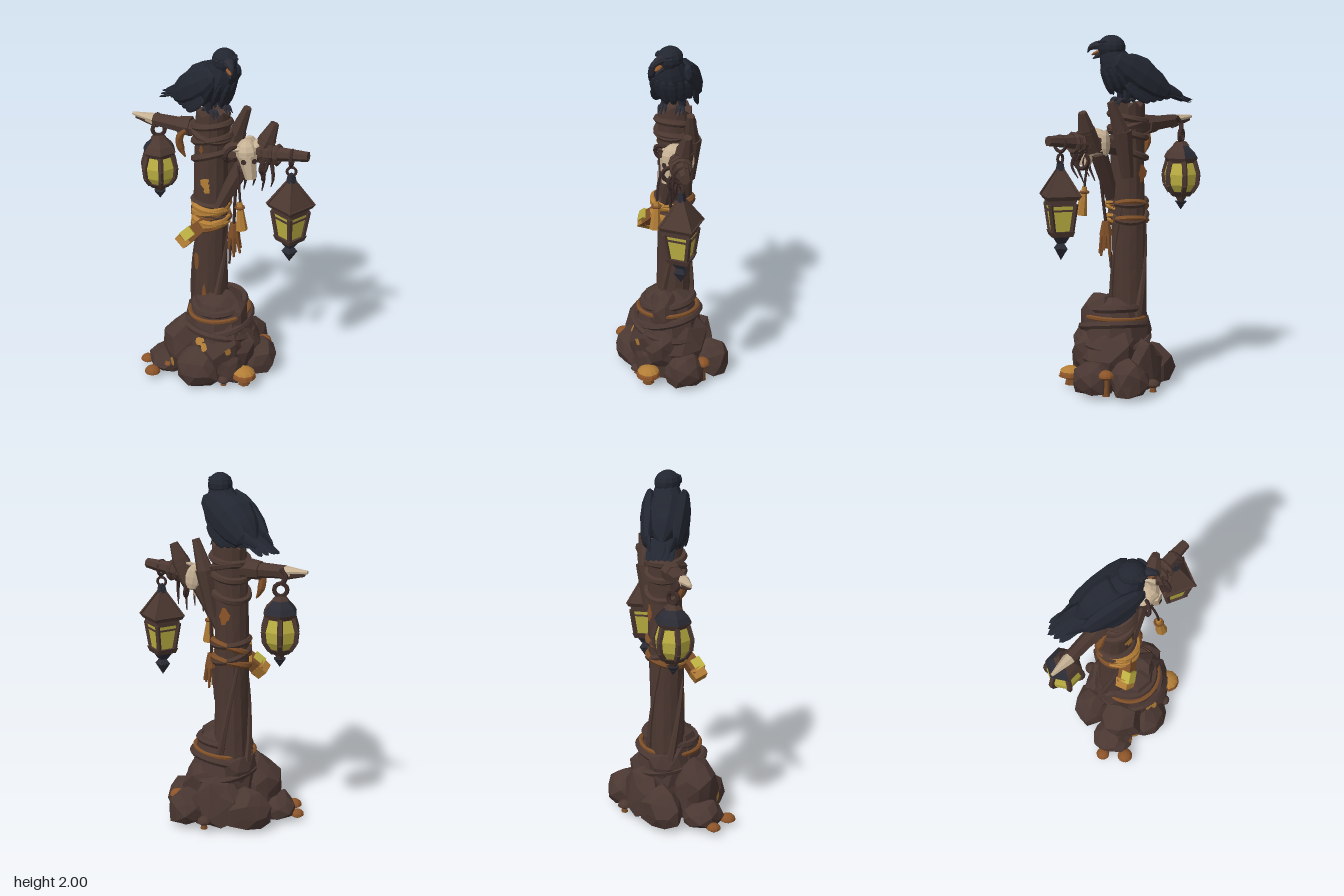
import * as THREE from 'three';

const mat = (name, color, flatShading = true) => {
  const m = new THREE.MeshStandardMaterial({ color, flatShading, side: THREE.DoubleSide });
  m.name = name;
  return m;
};
const V = (p) => new THREE.Vector3(...p);

export function createModel() {
  const M = {
    wood: mat('brown wood', 0x4c3831), rock: mat('brown rock', 0x4a3732), bark: mat('dark bark', 0x3c2b28),
    feather: mat('blue black feather', 0x222630), iron: mat('dark iron', 0x2b2b35), glass: mat('yellow glass', 0xbdb142),
    cap: mat('rust cap', 0x8c5429), rope: mat('tan rope', 0x7d4e28), gold: mat('golden lichen', 0xb27d36), bone: mat('pale bone', 0xc6b194),
  };
  let seed = 7;
  const rnd = (a = 0, b = 1) => { seed = (seed * 16807) % 2147483647; return a + (b - a) * seed / 2147483647; };
  const root = new THREE.Group();
  root.name = 'lanternPost';
  const add = (name, geo, m, pos = [0, 0, 0], parent = root) => {
    const mesh = new THREE.Mesh(geo, m);
    mesh.name = name;
    mesh.position.set(...pos);
    parent.add(mesh);
    return mesh;
  };
  const group = (name, pos, parent = root) => {
    const g = new THREE.Group();
    g.name = name;
    g.position.set(...pos);
    parent.add(g);
    return g;
  };
  // straight tapered stick from a to b
  const rod = (name, a, b, r0, r1, m, parent, sides = 7) => {
    const d = V(b).sub(V(a));
    const mesh = add(name, new THREE.CylinderGeometry(r1, r0, d.length(), sides), m, V(a).add(V(b)).multiplyScalar(0.5).toArray(), parent);
    mesh.quaternion.setFromUnitVectors(new THREE.Vector3(0, 1, 0), d.normalize());
    return mesh;
  };
  // tube along a curve with a radius at each step
  const loft = (name, pts, radii, m, parent, sides = 7, closed = false) => {
    const curve = new THREE.CatmullRomCurve3(pts.map(V), closed);
    const seg = pts.length * 3;
    const geo = new THREE.TubeGeometry(curve, seg, 1, sides, closed);
    const pos = geo.attributes.position, v = new THREE.Vector3();
    for (let i = 0; i < pos.count; i++) {
      const u = Math.floor(i / (sides + 1)) / seg, k = u * (radii.length - 1), j = Math.min(Math.floor(k), radii.length - 2);
      const r = radii.length === 1 ? radii[0] : THREE.MathUtils.lerp(radii[j], radii[j + 1], k - j);
      const c = curve.getPointAt(u);
      v.fromBufferAttribute(pos, i).sub(c).multiplyScalar(r).add(c);
      pos.setXYZ(i, v.x, v.y, v.z);
    }
    geo.computeVertexNormals();
    return add(name, geo, m, [0, 0, 0], parent);
  };
  // thin leaf-like blade from a to b
  const blade = (name, a, b, w, t, m, parent, up = [0, 1, 0]) => {
    const geo = new THREE.SphereGeometry(1, 8, 6).rotateX(Math.PI / 2).scale(w, t, V(a).distanceTo(V(b)) / 2);
    const mesh = new THREE.Mesh(geo, m);
    mesh.name = name;
    mesh.position.copy(V(a).add(V(b)).multiplyScalar(0.5));
    mesh.up.set(...up);
    mesh.lookAt(V(b));
    parent.add(mesh);
  };

  // rock mound: a solid core with boulders heaped against it
  const rocks = [
    [0.0, 0.2, 0.02, 0.22, 0.27, 0.22], [0.07, 0.4, 0.07, 0.1, 0.17, 0.1], [-0.08, 0.33, -0.01, 0.13, 0.15, 0.15],
    [-0.2, 0.17, 0.07, 0.13, 0.2, 0.14], [0.21, 0.08, 0.0, 0.12, 0.14, 0.12], [0.14, 0.09, -0.19, 0.11, 0.13, 0.11],
    [-0.09, 0.1, 0.18, 0.14, 0.14, 0.13], [0.06, 0.1, 0.16, 0.1, 0.14, 0.09], [-0.3, 0.06, 0.07, 0.12, 0.1, 0.12],
    [-0.18, 0.09, -0.12, 0.15, 0.15, 0.12], [-0.02, 0.12, -0.16, 0.15, 0.18, 0.1], [0.12, 0.22, 0.09, 0.1, 0.14, 0.11],
  ];
  const mound = group('rockMound', [0, 0, 0]);
  const core = [[0.2, 0.025], [0.215, 0.18], [0.195, 0.3], [0.17, 0.4], [0.135, 0.49], [0.06, 0.53]].map(([r, y]) => new THREE.Vector2(r, y));
  add('moundCore', new THREE.LatheGeometry(core, 9), M.rock, [-0.005, 0, 0.025], mound);
  rocks.forEach(([x, y, z, sx, sy, sz], n) => {
    const geo = new THREE.IcosahedronGeometry(1, 1), p = geo.attributes.position;
    geo.rotateY(n * 1.3);
    for (let i = 0; i < p.count; i++) {
      const h = Math.sin(Math.round(p.getX(i) * 50) * 12.9 + Math.round(p.getY(i) * 50) * 78.2 + Math.round(p.getZ(i) * 50) * 37.7 + n) * 43.7;
      const k = 0.86 + 0.26 * (h - Math.floor(h));
      p.setXYZ(i, p.getX(i) * k * sx, Math.max(p.getY(i) * k * sy, (n === 6 ? 0.0 : 0.025) - y), p.getZ(i) * k * sz);
    }
    geo.computeVertexNormals();
    add('rock', geo, M.rock, [x, y, z], mound);
  });

  // post, gently twisted with a splintered top
  const postX = (y) => -0.075 + 0.02 * (y - 0.3) / 1.3;
  const postGeo = new THREE.CylinderGeometry(0.1, 0.1, 1.32, 14, 10);
  const pp = postGeo.attributes.position;
  for (let i = 0; i < pp.count; i++) {
    const y = pp.getY(i) + 0.96, a = Math.atan2(pp.getX(i), pp.getZ(i));
    const k = 0.95 + 0.05 * Math.sin(a * 3 + y * 5) + 0.15 * Math.max(0, 0.7 - y);
    const rim = y > 1.6 && Math.hypot(pp.getX(i), pp.getZ(i)) > 0.05 ? 0.018 * Math.sin(a * 7 + 1) : 0;
    pp.setXYZ(i, pp.getX(i) * k + postX(y), y + rim, pp.getZ(i) * k - 0.035);
  }
  postGeo.computeVertexNormals();
  const post = add('post', postGeo, M.wood);

  // rings of rope round the post or mound
  const wrap = (name, x, y, z, r, tube, m, tx, tz) => {
    const pts = Array.from({ length: 12 }, (_, i) => {
      const a = i / 12 * Math.PI * 2, c = Math.cos(a), s = Math.sin(a);
      return [x + c * r, y + c * tx + s * tz, z + s * r];
    });
    loft(name, pts, [tube], m, root, 6, true);
  };
  [[0.96, 0.02], [1.0, -0.025], [1.04, 0.03], [1.075, -0.01]].forEach(([y, t], i) =>
    wrap('postRope', postX(y), y, -0.035, 0.1, 0.018, i % 2 ? M.wood : M.rope, t, -t));
  [[1.36, 0.03], [1.46, 0.02], [1.5, -0.02], [1.545, 0.015]].forEach(([y, t]) =>
    wrap('upperBinding', postX(y), y, -0.035, 0.1, 0.02, M.wood, t, t));
  wrap('moundRope', -0.005, 0.415, 0.025, 0.172, 0.013, M.rope, 0.015, 0);
  [[0.36, 0.03, 0.182], [0.3, -0.03, 0.195], [0.46, 0.015, 0.145]].forEach(([y, t, r]) => wrap('moundBinding', -0.005, y, 0.025, r, 0.022, M.rock, t, -t));
  // bright rope turns across the front
  [[0.95, 1.0], [1.0, 0.965], [1.03, 1.075], [1.085, 1.04]].forEach(([y0, y1]) => {
    const ym = (y0 + y1) / 2;
    loft('frontRope', [[-0.17, y0, -0.015], [-0.13, y0 + (ym - y0) * 0.5, 0.06], [-0.06, ym, 0.087], [0.005, ym + (y1 - ym) * 0.5, 0.055], [0.045, y1, -0.015]], [0.008, 0.021, 0.021, 0.021, 0.008], M.gold, root, 6);
  });

  // vines climbing the post
  [0.3, 2.6, 4.4].forEach((a0) => {
    const pts = Array.from({ length: 8 }, (_, i) => {
      const y = 0.38 + i * 0.1, a = a0 + i * 0.22, r = 0.098 - i * 0.001;
      return [postX(y) + Math.sin(a) * r, y, -0.035 + Math.cos(a) * r];
    });
    loft('vine', pts, [0.026, 0.017, 0.012, 0.003], M.wood, root, 6);
  });

  // arms, forks, brace and wedge
  rod('leftArm', [-0.05, 1.49, -0.04], [-0.4, 1.51, -0.115], 0.052, 0.036, M.wood);
  rod('leftArmTip', [-0.4, 1.51, -0.115], [-0.53, 1.525, -0.145], 0.035, 0.009, M.bone);
  rod('leftArmUnderside', [-0.38, 1.497, -0.11], [-0.51, 1.51, -0.141], 0.035, 0.012, M.wood);
  rod('leftArmKnot', [-0.18, 1.5, -0.07], [-0.25, 1.5, -0.085], 0.058, 0.05, M.wood);
  rod('rightArm', [-0.04, 1.38, -0.03], [0.3, 1.43, 0.045], 0.06, 0.047, M.wood);
  rod('rightArmEnd', [0.28, 1.428, 0.04], [0.49, 1.445, 0.09], 0.044, 0.028, M.wood);
  rod('rearFork', [0.02, 1.22, -0.09], [0.07, 1.48, -0.09], 0.035, 0.055, M.wood);
  rod('rearForkTip', [0.06, 1.44, -0.09], [0.135, 1.64, -0.06], 0.052, 0.022, M.wood);
  rod('sideFork', [0.2, 1.38, 0.01], [0.26, 1.5, 0.015], 0.052, 0.05, M.wood);
  rod('sideForkTip', [0.25, 1.48, 0.015], [0.295, 1.59, 0.01], 0.052, 0.024, M.wood);
  rod('brace', [-0.03, 1.03, 0.03], [0.14, 1.36, 0.02], 0.035, 0.05, M.wood);
  rod('wedge', [-0.08, 0.985, 0.06], [-0.19, 0.885, 0.1], 0.045, 0.054, M.rope, root, 4);
  rod('wedgeEnd', [-0.175, 0.9, 0.093], [-0.215, 0.862, 0.105], 0.057, 0.052, M.gold, root, 4);
  rod('wedgeMoss', [-0.145, 0.948, 0.099], [-0.195, 0.905, 0.113], 0.041, 0.041, M.glass, root, 4);
  loft('leftStrap', [[-0.2, 1.5, -0.02], [-0.24, 1.45, -0.03], [-0.235, 1.38, -0.04], [-0.21, 1.33, -0.04]], [0.01, 0.022, 0.022, 0.004], M.rope);
  // knotted cords around the right arm
  [0.24, 0.28, 0.32].forEach((x) => {
    const ring = add('armCord', new THREE.TorusGeometry(0.05, 0.013, 5, 10), M.wood, [x, 1.425, 0.035 + (x - 0.24) * 0.24]);
    ring.rotation.y = 1.35;
  });
  [[0.07, 1.42, 0.08], [0.25, 1.37, 0.09], [0.24, 1.32, 0.06]].forEach((p, i) => {
    const curl = add('curledVine', new THREE.TorusGeometry(0.042, 0.012, 5, 12, 5), M.bark, p);
    curl.rotation.set(0.3, 0.8 + i * 0.5, i);
  });

  // animal skull
  const skull = group('skull', [0.15, 1.41, 0.035]);
  skull.rotation.set(-0.1, 0.25, 0.1);
  add('cranium', new THREE.SphereGeometry(1, 9, 7).scale(0.064, 0.075, 0.078), M.bone, [0, 0.01, 0], skull);
  blade('cranialPlate', [0.02, 0.085, -0.06], [0.035, -0.06, -0.085], 0.045, 0.02, M.bone, skull, [0, 0, 1]);
  rod('snout', [0, 0.0, 0.03], [0.005, -0.13, 0.045], 0.055, 0.03, M.bone, skull);
  for (const s of [-1, 1]) {
    const eye = add('eyeSocket', new THREE.CircleGeometry(0.016, 7), M.bark, [s * 0.03, -0.018, 0.085], skull);
    eye.rotation.y = s * 0.35;
    blade('cheek', [s * 0.03, 0.04, 0.04], [s * 0.085, 0.055 + s * 0.02, -0.02], 0.03, 0.015, M.bone, skull);
  }

  // hanging charms
  loft('charmCord', [[0.11, 1.36, 0.09], [0.12, 1.25, 0.12], [0.13, 1.14, 0.13]], [0.007], M.bark);
  rod('hornCharm', [0.14, 1.0, 0.145], [0.125, 1.16, 0.13], 0.034, 0.014, M.gold);
  add('hornBand', new THREE.TorusGeometry(0.022, 0.008, 5, 9).rotateX(Math.PI / 2), M.rope, [0.127, 1.13, 0.131]);
  loft('tasselCord', [[0.1, 1.32, 0.05], [0.085, 1.15, 0.04], [0.075, 0.96, 0.02]], [0.009], M.bark);
  rod('tasselKnot', [0.075, 0.89, 0.02], [0.075, 0.97, 0.02], 0.038, 0.022, M.rope);
  for (let i = 0; i < 6; i++) {
    const a = i / 6 * Math.PI * 2, c = Math.sin(a), s = Math.cos(a);
    rod('tasselStrand', [0.075 + c * 0.018, 0.92, 0.02 + s * 0.018], [0.08 + c * 0.038, i === 4 ? 0.7 : 0.77 + 0.02 * (i % 3), 0.02 + s * 0.03], 0.014, 0.007, i === 4 ? M.wood : M.rope, root, 5);
  }
  for (let i = 0; i < 4; i++) {
    const x = 0.13 + i * 0.05;
    loft('danglingCord', [[x, 1.4, 0.04], [x + 0.02, 1.3, 0.08], [x + 0.005, 1.2 + 0.03 * (i % 2), 0.05]], [0.014, 0.01, 0.003], M.bark, root, 5);
  }

  // lanterns: glass profile, frame bars and stacked collars [top r, bottom r, y, height, material]
  const lantern = (name, x, y, z, n, glass, collars, bar, turn) => {
    const g = group(name, [x, y, z]);
    g.rotation.y = turn;
    add('glass', new THREE.LatheGeometry(glass.map(([r, h]) => new THREE.Vector2(r, h)), n), M.glass, [0, 0, 0], g);
    for (let i = 0; i < n; i++) {
      const a = i / n * Math.PI * 2;
      for (let k = 1; k < glass.length; k++) {
        const [p, q] = [glass[k - 1], glass[k]].map(([r, h]) => [Math.sin(a) * r, h, Math.cos(a) * r]);
        rod('frameBar', p, q, bar, bar, M.wood, g, 5);
      }
    }
    collars.forEach(([r1, r0, h, t, m]) => add('collar', new THREE.CylinderGeometry(r1, r0, t, n), m, [0, h, 0], g));
    return g;
  };
  const left = lantern('leftLantern', -0.39, 1.2, -0.17, 6, [[0.065, -0.1], [0.095, -0.055], [0.102, 0.005], [0.08, 0.08]], [
    [0.1, 0.085, 0.085, 0.028, M.wood], [0.08, 0.1, 0.115, 0.035, M.iron], [0.04, 0.08, 0.15, 0.04, M.iron], [0.03, 0.05, 0.18, 0.022, M.wood],
    [0.082, 0.055, -0.11, 0.03, M.wood], [0.035, 0.018, -0.14, 0.03, M.wood], [0.036, 0.02, -0.165, 0.02, M.iron], [0.02, 0.001, -0.19, 0.026, M.iron],
  ], 0.016, 0.3);
  // rusted front half of the left roof
  [[0.083, 0.103, 0.115, 0.035], [0.043, 0.083, 0.15, 0.04]].forEach(([r1, r0, h, t]) =>
    add('roofRust', new THREE.CylinderGeometry(r1, r0, t, 3, 1, true, -Math.PI / 3, Math.PI), M.wood, [0, h + 0.002, 0], left));
  add('ring', new THREE.TorusGeometry(0.035, 0.012, 6, 12), M.bark, [0, 0.225, 0], left);
  loft('hook', [[0, 0.25, 0], [-0.025, 0.29, 0.01], [0, 0.33, 0.03]], [0.014], M.bark, left);
  const right = lantern('rightLantern', 0.4, 1.07, 0.08, 4, [[0.07, -0.125], [0.098, 0.035]], [
    [0.022, 0.125, 0.145, 0.14, M.wood], [0.135, 0.12, 0.068, 0.022, M.wood], [0.105, 0.103, 0.042, 0.034, M.wood], [0.02, 0.03, 0.235, 0.05, M.iron],
    [0.094, 0.08, -0.13, 0.03, M.wood], [0.06, 0.03, -0.165, 0.04, M.iron], [0.022, 0.045, -0.2, 0.03, M.iron], [0.045, 0.001, -0.245, 0.065, M.iron],
  ], 0.015, 0.1);
  for (let i = 0; i < 4; i++) {
    const a = i * Math.PI / 2, b = a + Math.PI / 2, P = (t) => [Math.sin(t) * 0.094, 0.0, Math.cos(t) * 0.094];
    rod('crossBar', P(a), P(b), 0.007, 0.007, M.wood, right, 4);
    rod('roofRib', [Math.sin(a) * 0.13, 0.075, Math.cos(a) * 0.13], [Math.sin(a) * 0.02, 0.22, Math.cos(a) * 0.02], 0.009, 0.007, M.wood, right, 4);
  }
  add('ring', new THREE.TorusGeometry(0.025, 0.008, 6, 12), M.bark, [0, 0.275, 0], right);
  add('armLoop', new THREE.TorusGeometry(0.042, 0.01, 6, 12).rotateY(1.4), M.bark, [0, 0.355, 0], right);

  // mushrooms [x, z, radius, cap base height, cap material]
  [[0.17, 0.2, 0.07, 0.07, M.cap], [0.055, 0.235, 0.035, 0.05, M.wood], [-0.375, 0.195, 0.046, 0.035, M.cap], [-0.432, 0.07, 0.04, 0.035, M.cap],
    [0.24, -0.105, 0.045, 0.13, M.cap], [0.015, -0.265, 0.04, 0.06, M.wood]].forEach(([x, z, r, y, m], i) => {
    const g = group('mushroom', [x, y, z]);
    add('cap', new THREE.SphereGeometry(r, 10, 5, 0, Math.PI * 2, 0, Math.PI / 2).scale(1, 0.8, 1), m, [0, 0, 0], g);
    if (i === 0) add('capTop', new THREE.SphereGeometry(r + 0.003, 10, 4, 0, Math.PI * 2, 0, 1.05).scale(1, 0.8, 1), M.gold, [0, 0, 0], g);
    add('gills', new THREE.CylinderGeometry(r, r * 0.6, 0.012, 10), m, [0, -0.006, 0], g);
    add('stem', new THREE.CylinderGeometry(r * 0.35, r * 0.5, y - 0.02, 7), M.rope, [0, -y / 2 + 0.01, 0], g);
  });

  // raven perched on the post
  const bird = group('raven', [-0.045, 1.62, -0.025]);
  bird.rotation.y = 0.98;
  loft('body', [[0, 0.06, -0.24], [0, 0.11, -0.15], [0, 0.155, -0.04], [0, 0.205, 0.04], [0, 0.28, 0.075], [0, 0.33, 0.08]], [0.01, 0.08, 0.125, 0.118, 0.085, 0.05], M.feather, bird, 10);
  for (const s of [-1, 1]) {
    blade('wing', [s * 0.1, 0.26, 0.1], [s * 0.08, 0.05, -0.24], 0.09, 0.042, M.feather, bird, [s, 0.25, 0]);
    for (let i = 0; i < 6; i++)
      blade('wingFeather', [s * 0.118, 0.17 - i * 0.012, -0.02 + i * 0.012], [s * (0.05 + i * 0.012), 0.04 - i * 0.006, -0.33 + i * 0.045], 0.032, 0.011, M.feather, bird, [s, 0.3, 0]);
    for (let i = 0; i < 3; i++)
      blade('breastFeather', [s * (0.02 + i * 0.035), 0.2, 0.135 - i * 0.025], [s * (0.02 + i * 0.036), 0.05 + i * 0.01, 0.075 - i * 0.03], 0.03, 0.016, M.feather, bird, [0, 0, 1]);
    rod('leg', [s * 0.045, 0.09, 0.0], [s * 0.05, 0.01, 0.015], 0.035, 0.012, M.feather, bird);
    for (let i = -1; i < 3; i++) {
      const a = i === 2 ? Math.PI : i * 0.5;
      loft('toe', [[s * 0.05, 0.015, 0.015], [s * 0.05 + Math.sin(a) * 0.03, 0.025, 0.015 + Math.cos(a) * 0.035], [s * 0.05 + Math.sin(a) * 0.045, -0.01, 0.015 + Math.cos(a) * 0.065]], [0.013, 0.011, 0.002], M.iron, bird, 5);
    }
  }
  for (let i = -2; i < 3; i++)
    blade('tailFeather', [i * 0.014, 0.085, -0.16], [i * 0.03, 0.012 - Math.abs(i) * 0.006, -0.405 + Math.abs(i) * 0.018], 0.03, 0.009, M.feather, bird);
  const head = group('head', [0, 0.312, 0.08], bird);
  head.rotation.y = -0.5;
  add('skullcap', new THREE.SphereGeometry(1, 12, 9).scale(0.068, 0.068, 0.078), M.feather, [0, 0, 0], head);
  loft('upperBeak', [[0, 0.005, 0.04], [0, 0.01, 0.085], [0, -0.005, 0.12], [0, -0.03, 0.135]], [0.033, 0.025, 0.017, 0.002], M.iron, head);
  loft('lowerBeak', [[0, -0.03, 0.045], [0, -0.048, 0.08], [0, -0.064, 0.105]], [0.023, 0.015, 0.002], M.iron, head);
  blade('tongue', [0, -0.015, 0.05], [0, -0.042, 0.112], 0.016, 0.01, M.cap, head);
  for (const s of [-1, 1]) {
    add('eye', new THREE.SphereGeometry(0.009, 7, 5), M.iron, [s * 0.053, 0.018, 0.046], head);
    blade('brow', [s * 0.058, 0.035, 0.02], [s * 0.03, 0.028, 0.073], 0.012, 0.008, M.feather, head);
  }

  // lichen flakes laid on the surface hit from a direction
  root.updateMatrixWorld(true);
  const ray = new THREE.Raycaster();
  const flake = (x, y, side, r, tall, m) => {
    ray.set(V([x, y, side]), V([0, 0, -side]));
    const hit = ray.intersectObjects([post, ...mound.children])[0];
    if (!hit) return;
    const geo = new THREE.CircleGeometry(r, 9), p = geo.attributes.position;
    for (let i = 1; i < p.count; i++) { const k = rnd(0.55, 1.1); p.setXY(i, p.getX(i) * k, p.getY(i) * k * tall); }
    const n = hit.face.normal.clone();
    if (n.z * side < 0) n.negate();
    const mesh = add('lichen', geo, m, hit.point.clone().addScaledVector(n, 0.005).toArray());
    mesh.lookAt(hit.point.clone().add(n));
  };
  [[-0.08, 1.22, 1, 0.034, 1.3, M.gold], [-0.07, 1.18, 1, 0.022, 1.3, M.gold], [-0.135, 0.72, 1, 0.02, 3.5, M.rope], [-0.09, 0.53, 1, 0.016, 3.5, M.rope],
    [-0.09, 0.28, 1, 0.03, 1.2, M.gold], [-0.06, 0.25, 1, 0.026, 1.2, M.gold], [0.08, 0.25, 1, 0.022, 1.3, M.gold], [-0.25, 0.12, 1, 0.028, 1.3, M.gold],
    [-0.29, 0.09, 1, 0.02, 1, M.cap], [-0.06, 1.25, -1, 0.035, 1.3, M.cap], [-0.05, 1.21, -1, 0.024, 1.3, M.cap], [-0.1, 1.42, 1, 0.018, 2, M.rope]]
    .forEach((f) => flake(...f));
  return root;
}
